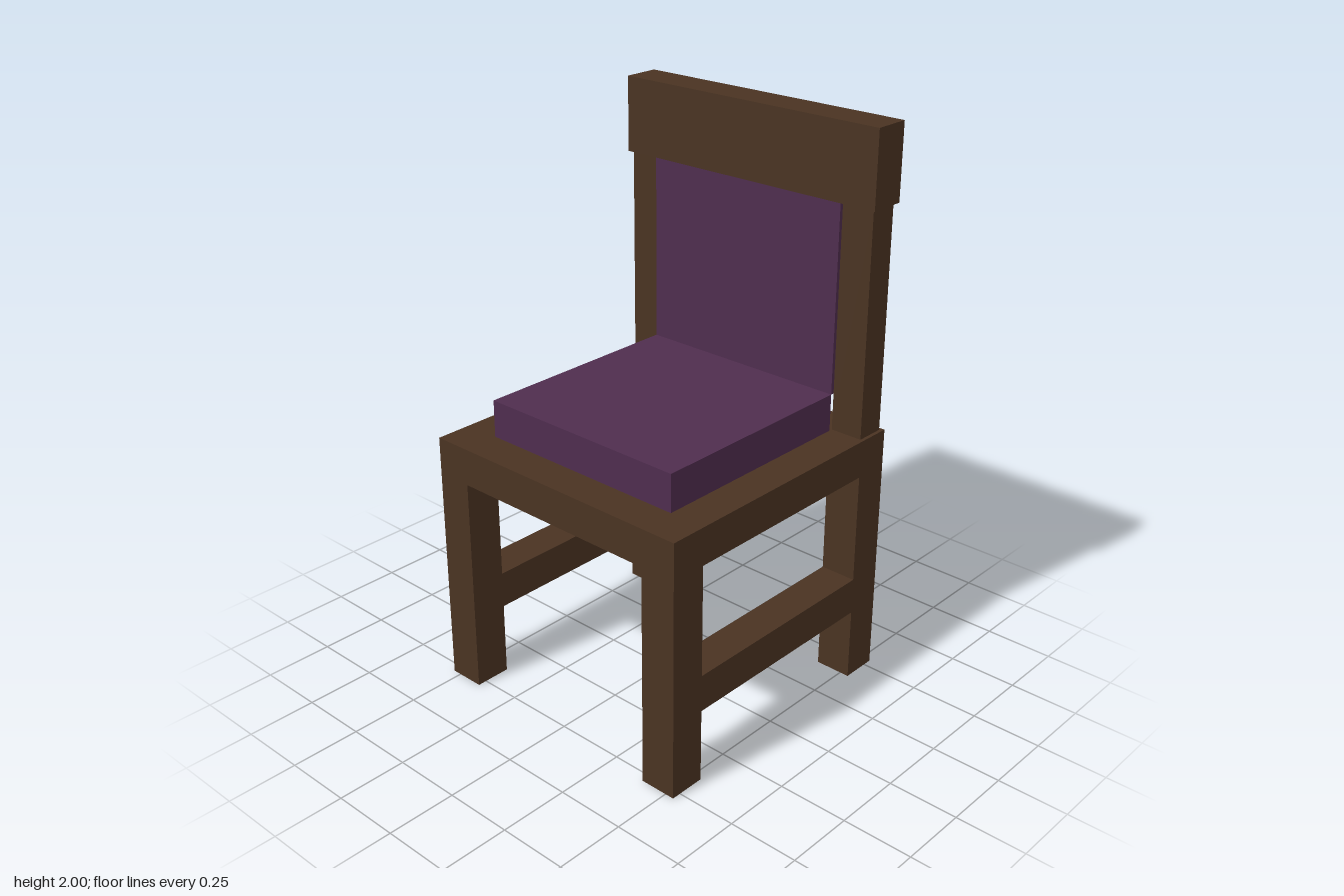
import * as THREE from 'three';

export function createModel() {
  const wood = new THREE.MeshStandardMaterial({ color: 0x4a3322 });
  wood.name = 'dark wood';
  const fabric = new THREE.MeshStandardMaterial({ color: 0x4f2d4e });
  fabric.name = 'purple fabric';

  const chair = new THREE.Group();
  chair.name = 'chair';

  // Box given by its minimum and maximum on each axis
  function block(name, material, [x0, x1], [y0, y1], [z0, z1]) {
    const mesh = new THREE.Mesh(new THREE.BoxGeometry(x1 - x0, y1 - y0, z1 - z0), material);
    mesh.position.set((x0 + x1) / 2, (y0 + y1) / 2, (z0 + z1) / 2);
    mesh.name = name;
    chair.add(mesh);
  }

  const outer = 0.533, inner = 0.4;
  const seatBottom = 0.8, seatTop = 0.933, cushionTop = 1.067, railBottom = 1.733;

  // Seat and cushion
  block('seat', wood, [-outer, outer], [seatBottom, seatTop], [-outer, outer]);
  block('seatCushion', fabric, [-inner, inner], [seatTop, cushionTop], [-inner, inner]);

  // Legs, side stretchers and back posts, mirrored left and right
  for (const [side, s] of [['left', 1], ['right', -1]]) {
    const span = (a, b) => (s > 0 ? [a, b] : [-b, -a]);
    block(side + 'FrontLeg', wood, span(inner, outer), [0, seatBottom], [inner, outer]);
    block(side + 'BackLeg', wood, span(inner, outer), [0, seatBottom], [-outer, -inner]);
    block(side + 'Stretcher', wood, span(inner, outer), [0.267, 0.4], [-inner, inner]);
    block(side + 'BackPost', wood, span(inner, 0.52), [seatTop, railBottom], [-0.52, -0.413]);
  }

  // Backrest
  block('backPanel', fabric, [-inner, inner], [cushionTop, railBottom], [-outer, -inner]);
  block('topRail', wood, [-outer, outer], [railBottom, 2], [-outer, -inner]);

  return chair;
}
